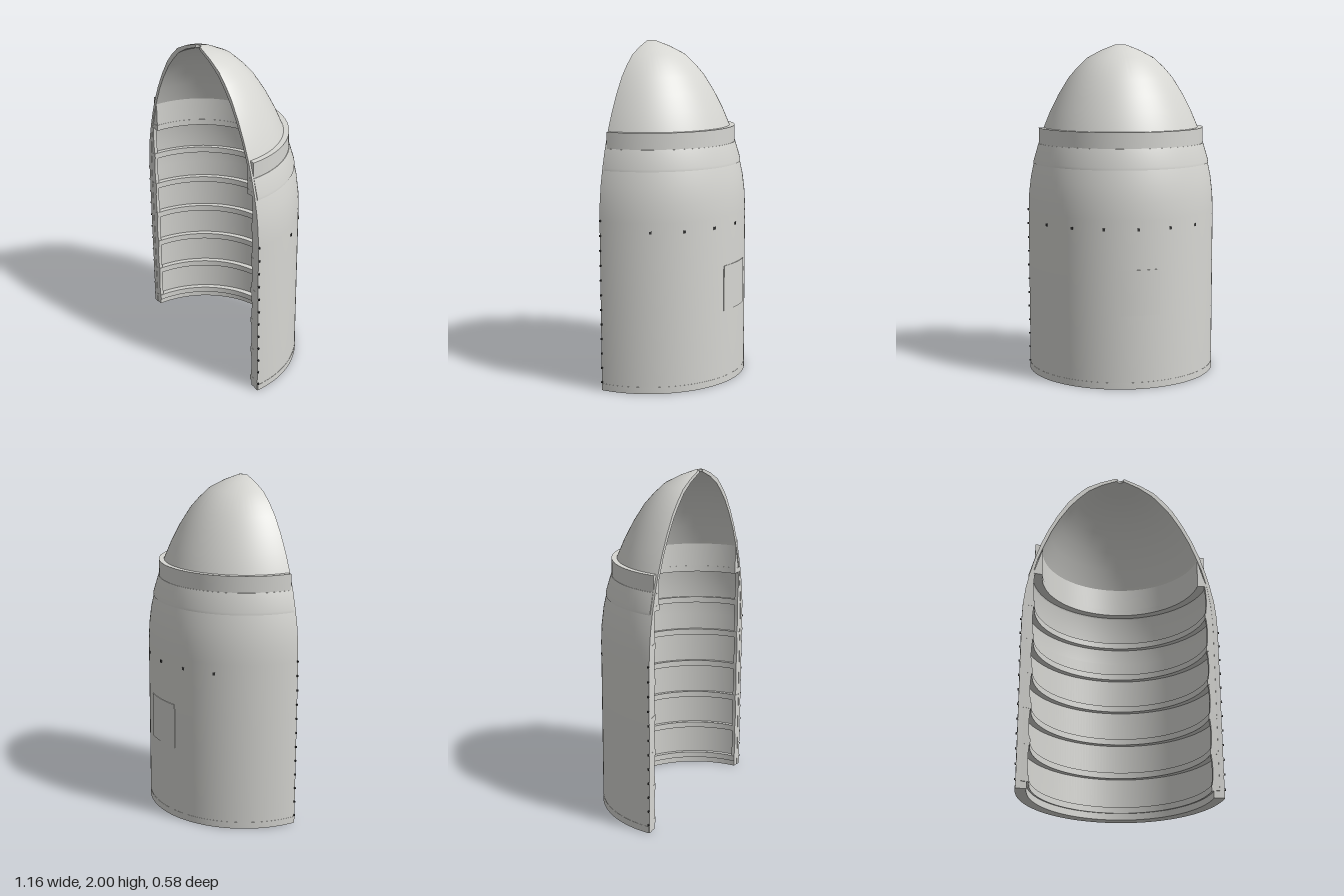
import * as THREE from 'three';
import { mergeGeometries, toCreasedNormals } from 'three/addons/utils/BufferGeometryUtils.js';

const AXIS_Z = 0.285;
const rad = THREE.MathUtils.degToRad;

// Solid swept around the axis from a closed profile [radius, y] listed up the
// outside and down the inside. Angles: 0 = +x, 90 = back, 180 = -x.
function sweep(profile, from = 0, to = 180, segments = 64) {
  const pts = profile.map(([r, y]) => new THREE.Vector2(r, y));
  const a = rad(from + 90), b = rad(to + 90);
  const body = new THREE.LatheGeometry([...pts, pts[0].clone()], segments, a, b - a);
  const startCap = new THREE.ShapeGeometry(new THREE.Shape(pts));
  startCap.rotateY(rad(from));
  const endCap = new THREE.ShapeGeometry(
    new THREE.Shape(pts.map((p) => new THREE.Vector2(-p.x, p.y)).reverse()));
  endCap.rotateY(rad(to - 180));
  const parts = [body, startCap, endCap].map((g) => toCreasedNormals(g.toNonIndexed(), rad(30)));
  return mergeGeometries(parts);
}

const ring = (rIn, rOut, y0, y1) => [[rOut, y0], [rOut, y1], [rIn, y1], [rIn, y0]];

export function createModel() {
  const group = new THREE.Group();
  const shellGrey = new THREE.MeshStandardMaterial({ color: 0xd6d6d2 });
  shellGrey.name = 'light grey';
  const boltDark = new THREE.MeshStandardMaterial({ color: 0x3a3a3a });
  boltDark.name = 'dark grey';

  const add = (name, geometry, material = shellGrey) => {
    const mesh = new THREE.Mesh(geometry, material);
    mesh.name = name;
    mesh.position.z = AXIS_Z;
    group.add(mesh);
    return mesh;
  };

  // Half shell: straight barrel running into a pointed dome
  const outer = [
    [0.572, 0], [0.572, 1.0], [0.568, 1.1], [0.556, 1.2], [0.535, 1.3], [0.508, 1.4],
    [0.475, 1.5], [0.433, 1.6], [0.382, 1.7], [0.32, 1.8], [0.268, 1.86], [0.205, 1.92],
    [0.12, 1.965], [0.03, 2.0], [0.02, 2.0],
  ];
  const inner = [
    [0.02, 1.985], [0.115, 1.945], [0.195, 1.895], [0.255, 1.835], [0.305, 1.777],
    [0.365, 1.685], [0.415, 1.59], [0.464, 1.47], [0.49, 1.4], [0.516, 1.3],
    [0.535, 1.18], [0.543, 1.08], [0.545, 1.0], [0.545, 0],
  ];
  add('halfShell', sweep([...outer, ...inner], 0, 180, 96));

  // Base ring and the collar around the foot of the dome
  add('baseRing', sweep(ring(0.512, 0.5735, 0, 0.04), 0.4, 179.6));
  add('shoulderBand', sweep([[0.541, 1.285], [0.54, 1.3], [0.509, 1.405], [0.48, 1.405], [0.52, 1.285]], 1.4, 178.6));
  add('domeCollar', sweep(ring(0.46, 0.506, 1.395, 1.5).map(([r, y]) => [y < 1.45 && r < 0.5 ? 0.49 : r < 0.5 ? 0.468 : r, y]), 1.4, 178.6));

  // Inner liner below the dome
  add('upperLiner', sweep([[0.512, 1.31], [0.462, 1.472], [0.462, 1.31]], 0.3, 179.7));

  // Ribs, with bowed edge flanges between them along both cut sides
  const ribCount = 7, ribStep = 0.21;
  for (let i = 0; i < ribCount; i++) {
    const y = 0.055 + i * ribStep;
    const rOut = i === ribCount - 1 ? 0.522 : 0.546;
    const rIn = i === ribCount - 1 ? 0.46 : 0.5;
    add('rib', sweep([[rOut, y - 0.012], [rOut, y + 0.008], [rIn, y + 0.018], [rIn, y - 0.018]], 0.1, 179.9));
    if (i === ribCount - 1) continue;
    const top = y + ribStep, out = i === ribCount - 2 ? 0.53 : 0.546;
    const flange = [[0.546, y], [out, top], [0.503, top], [0.509, top - 0.06],
      [0.511, y + ribStep / 2], [0.509, y + 0.06], [0.503, y]];
    add('edgeFlange', sweep(flange, 0.2, 2.5, 2));
    add('edgeFlange', sweep(flange, 177.5, 179.8, 2));
  }

  // Access panel on the back
  add('accessPanel', sweep(ring(0.56, 0.576, 0.44, 0.71), 78, 103, 12));

  // Bolts down both cut edges
  for (const side of [-1, 1]) {
    for (let i = 0; i < 12; i++) {
      const bolt = add('edgeBolt', new THREE.BoxGeometry(0.012, 0.01, 0.008), boltDark);
      bolt.position.set(side * 0.574, 0.05 + i * 0.0865, AXIS_Z - 0.004);
    }
  }

  // Row of small studs around the barrel
  for (let angle = 30; angle <= 130; angle += 20) {
    const stud = add('barrelStud', new THREE.BoxGeometry(0.008, 0.016, 0.014), boltDark);
    const a = rad(angle);
    stud.position.set(0.572 * Math.cos(a), 0.945, AXIS_Z - 0.572 * Math.sin(a));
    stud.rotation.y = a;
  }

  return group;
}
